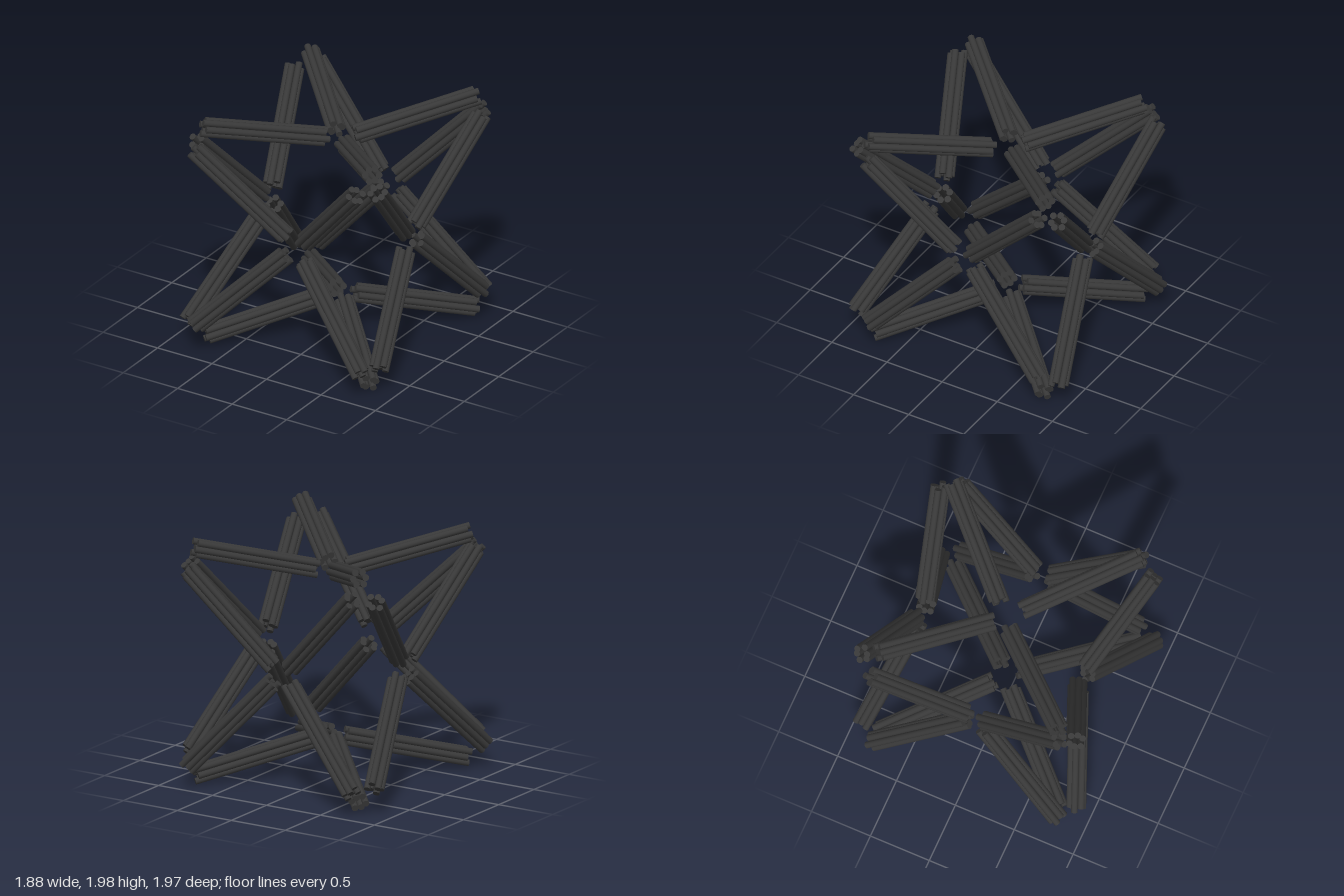
import * as THREE from 'three';

const TUBE_R = 0.0265;

// Struts grouped by the open vertex they point at.
// Each row: outer end x, y, z, then inner end x, y, z (about the star's centre).
const STRUTS = {
  front: [
    [-0.72, 0.77, 0.90, -0.06, 0.085, 0.62], [0.76, 0.785, 0.905, 0.12, 0.085, 0.63],
    [-0.715, -0.75, 0.90, -0.055, -0.075, 0.63], [0.80, -0.765, 0.90, 0.115, -0.095, 0.63],
  ],
  back: [
    [-0.735, 0.77, -0.91, -0.055, 0.07, -0.75], [0.78, 0.77, -0.915, 0.11, 0.07, -0.75],
    [-0.73, -0.80, -0.91, -0.055, -0.07, -0.74], [0.78, -0.81, -0.92, 0.11, -0.07, -0.74],
  ],
  left: [
    [0.865, 0.77, 0.755, 0.69, 0.09, 0.075], [0.85, 0.785, -0.78, 0.685, 0.08, -0.085],
    [0.865, -0.775, 0.735, 0.69, -0.075, 0.07], [0.85, -0.735, -0.775, 0.685, -0.05, -0.10],
  ],
  right: [
    [-0.775, 0.785, 0.785, -0.62, 0.06, 0.075], [-0.865, 0.74, -0.78, -0.62, 0.07, -0.07],
    [-0.84, -0.79, 0.80, -0.62, -0.10, 0.085], [-0.85, -0.775, -0.775, -0.61, -0.09, -0.07],
  ],
  top: [
    [-0.735, 0.91, 0.76, -0.065, 0.70, 0.04], [0.825, 0.92, 0.77, 0.13, 0.70, 0.075],
    [-0.72, 0.91, -0.78, -0.06, 0.70, -0.11], [0.79, 0.925, -0.81, 0.115, 0.70, -0.12],
  ],
  bottom: [
    [-0.72, -0.90, 0.75, -0.05, -0.67, 0.045], [0.79, -0.915, 0.75, 0.115, -0.67, 0.05],
    [-0.72, -0.90, -0.79, -0.05, -0.67, -0.10], [0.79, -0.91, -0.80, 0.115, -0.67, -0.10],
  ],
};

// Ragged end offsets of the six tubes
const STAGGER = [0.012, -0.014, 0.018, -0.008, 0.01, -0.018];

// Hollow ring of six parallel tubes running from outer to inner end
function makeStrut(row, name, index, material) {
  const outer = new THREE.Vector3(...row.slice(0, 3));
  const inner = new THREE.Vector3(...row.slice(3));
  const axis = inner.clone().sub(outer);
  const length = axis.length();
  axis.normalize();
  const mid = outer.clone().add(inner).multiplyScalar(0.5);
  const side = new THREE.Vector3().crossVectors(axis, mid).normalize();
  const up = new THREE.Vector3().crossVectors(side, axis);

  const strut = new THREE.Group();
  strut.name = name;
  strut.position.copy(mid);
  strut.quaternion.setFromRotationMatrix(new THREE.Matrix4().makeBasis(side, axis, up));

  for (let i = 0; i < 6; i++) {
    const a = (i * Math.PI) / 3;
    const lo = STAGGER[(i + index) % 6];
    const hi = STAGGER[(i * 5 + index + 2) % 6];
    const tube = new THREE.Mesh(
      new THREE.CylinderGeometry(TUBE_R, TUBE_R, length + hi - lo, 12), material);
    tube.name = 'tube';
    tube.position.set(2 * TUBE_R * Math.cos(a), (hi + lo) / 2, 2 * TUBE_R * Math.sin(a));
    strut.add(tube);
  }
  return strut;
}

export function createModel() {
  const model = new THREE.Group();
  model.name = 'strutStar';
  const material = new THREE.MeshStandardMaterial({ color: 0x383838 });
  for (const [face, rows] of Object.entries(STRUTS)) {
    const group = new THREE.Group();
    group.name = face + 'Struts';
    rows.forEach((row, i) => group.add(makeStrut(row, face + 'Strut', i, material)));
    group.position.y = 1;
    model.add(group);
  }
  return model;
}
